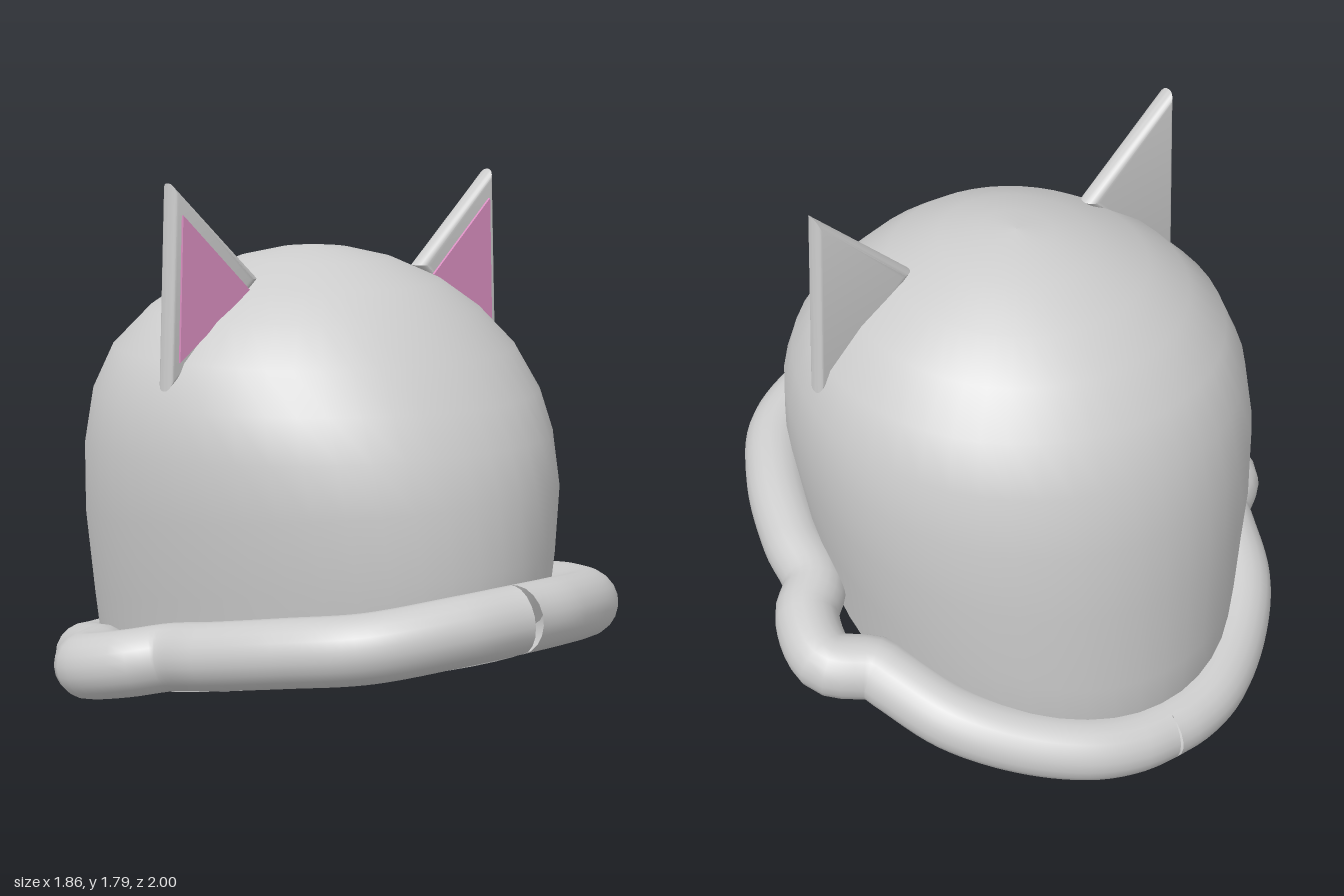
import * as THREE from 'three';
import { toCreasedNormals } from 'three/addons/utils/BufferGeometryUtils.js';

// Dome rings from the tilted rim to the crown: [front y, back y, half width, front z, back z]
const RINGS = [
  [0.36, 0.03, 0.62, 0.8, -0.84],
  [0.5, 0.15, 0.64, 0.83, -0.885],
  [0.65, 0.35, 0.67, 0.835, -0.89],
  [0.85, 0.65, 0.715, 0.82, -0.88],
  [1.0, 0.9, 0.725, 0.77, -0.86],
  [1.12, 1.1, 0.705, 0.7, -0.81],
  [1.25, 1.25, 0.645, 0.6, -0.73],
  [1.37, 1.37, 0.53, 0.48, -0.61],
  [1.46, 1.46, 0.4, 0.36, -0.48],
  [1.53, 1.53, 0.24, 0.2, -0.32],
  [1.56, 1.56, 0.11, 0.06, -0.18],
  [1.57, 1.57, 0.002, -0.058, -0.062],
];

// Skin over the rings; inset pulls it inward, inward turns the faces round
function domeGeometry(inset, inward) {
  const N = 48, pos = [], idx = [];
  RINGS.forEach(([yf, yb, w, zf, zb], r) => {
    const k = 1 - inset;
    const zc = THREE.MathUtils.lerp(-0.1, -0.06, r / (RINGS.length - 1));
    for (let i = 0; i < N; i++) {
      const a = (i / N) * Math.PI * 2, c = Math.cos(a);
      const z = zc + c * (c > 0 ? zf - zc : zc - zb);
      const y = THREE.MathUtils.lerp(yb, yf, (z - zb) / (zf - zb));
      pos.push(Math.sin(a) * w * k, y - inset * Math.max(0, y - 0.5), zc + (z - zc) * k);
      if (r < RINGS.length - 1) {
        const p = r * N + i, q = r * N + ((i + 1) % N);
        if (inward) idx.push(p, p + N, q, q, p + N, q + N);
        else idx.push(p, q, p + N, q, q + N, p + N);
      }
    }
  });
  const g = new THREE.BufferGeometry();
  g.setAttribute('position', new THREE.Float32BufferAttribute(pos, 3));
  g.setIndex(idx);
  g.computeVertexNormals();
  return g;
}

// Flat lip joining the lower edges of shell and lining
function lipGeometry(outer, inner) {
  const N = 48, pos = [], idx = [];
  for (const g of [outer, inner]) pos.push(...g.attributes.position.array.slice(0, N * 3));
  for (let i = 0; i < N; i++) {
    const j = (i + 1) % N;
    idx.push(i, i + N, j, j, i + N, j + N);
  }
  const g = new THREE.BufferGeometry();
  g.setAttribute('position', new THREE.Float32BufferAttribute(pos, 3));
  g.setIndex(idx);
  g.computeVertexNormals();
  return g;
}

// Half of the rolled brim, jogging outward at the side
const BRIM = [
  [0, 0.51, 0.893], [0.2, 0.5, 0.862], [0.45, 0.465, 0.74], [0.585, 0.43, 0.53],
  [0.67, 0.38, 0.27], [0.7, 0.345, 0.09], [0.79, 0.32, -0.01], [0.82, 0.28, -0.19],
  [0.7, 0.265, -0.29], [0.67, 0.25, -0.36], [0.58, 0.2, -0.56], [0.42, 0.15, -0.73],
  [0.24, 0.12, -0.85], [0.1, 0.107, -0.89], [0, 0.105, -0.895],
];

const triangle = (pts, s) => new THREE.Shape(pts.map(([x, y]) => new THREE.Vector2(x * s, y)));

export function createModel() {
  const grey = new THREE.MeshStandardMaterial({ color: 0xcccccc, side: THREE.DoubleSide });
  grey.name = 'light grey';
  const pink = new THREE.MeshStandardMaterial({ color: 0xdb90c2 });
  pink.name = 'pink';

  const model = new THREE.Group();
  model.name = 'catEarHelmet';
  const add = (name, geometry, material) => {
    const m = new THREE.Mesh(geometry, material);
    m.name = name;
    model.add(m);
  };

  // Hollow dome
  const outer = domeGeometry(0, false), inner = domeGeometry(0.06, true);
  add('shell', outer, grey);
  add('lining', inner, grey);
  add('lip', lipGeometry(outer, inner), grey);

  for (const [side, s] of [['left', 1], ['right', -1]]) {
    // Brim half, meeting its twin at a narrow front notch
    const path = new THREE.CatmullRomCurve3(BRIM.map(([x, y, z]) => new THREE.Vector3(x * s, y, z)));
    add(side + 'Brim', new THREE.TubeGeometry(path, 80, 0.105, 20), grey);

    // Ear with rounded edges
    const ear = new THREE.ExtrudeGeometry(
      triangle([[0.638, 1.755], [0.372, 1.49], [0.662, 1.205]], s),
      { depth: 0.01, bevelEnabled: true, bevelThickness: 0.03, bevelSize: 0.03, bevelSegments: 5 });
    ear.translate(0, 0, 0.04);
    add(side + 'Ear', toCreasedNormals(ear, 0.6), grey);

    // Pink inner ear plate
    const plate = new THREE.ExtrudeGeometry(
      triangle([[0.628, 1.7], [0.38, 1.46], [0.645, 1.255]], s),
      { depth: 0.009, bevelEnabled: false });
    plate.translate(0, 0, 0.0795);
    add(side + 'InnerEar', plate, pink);
  }
  return model;
}
